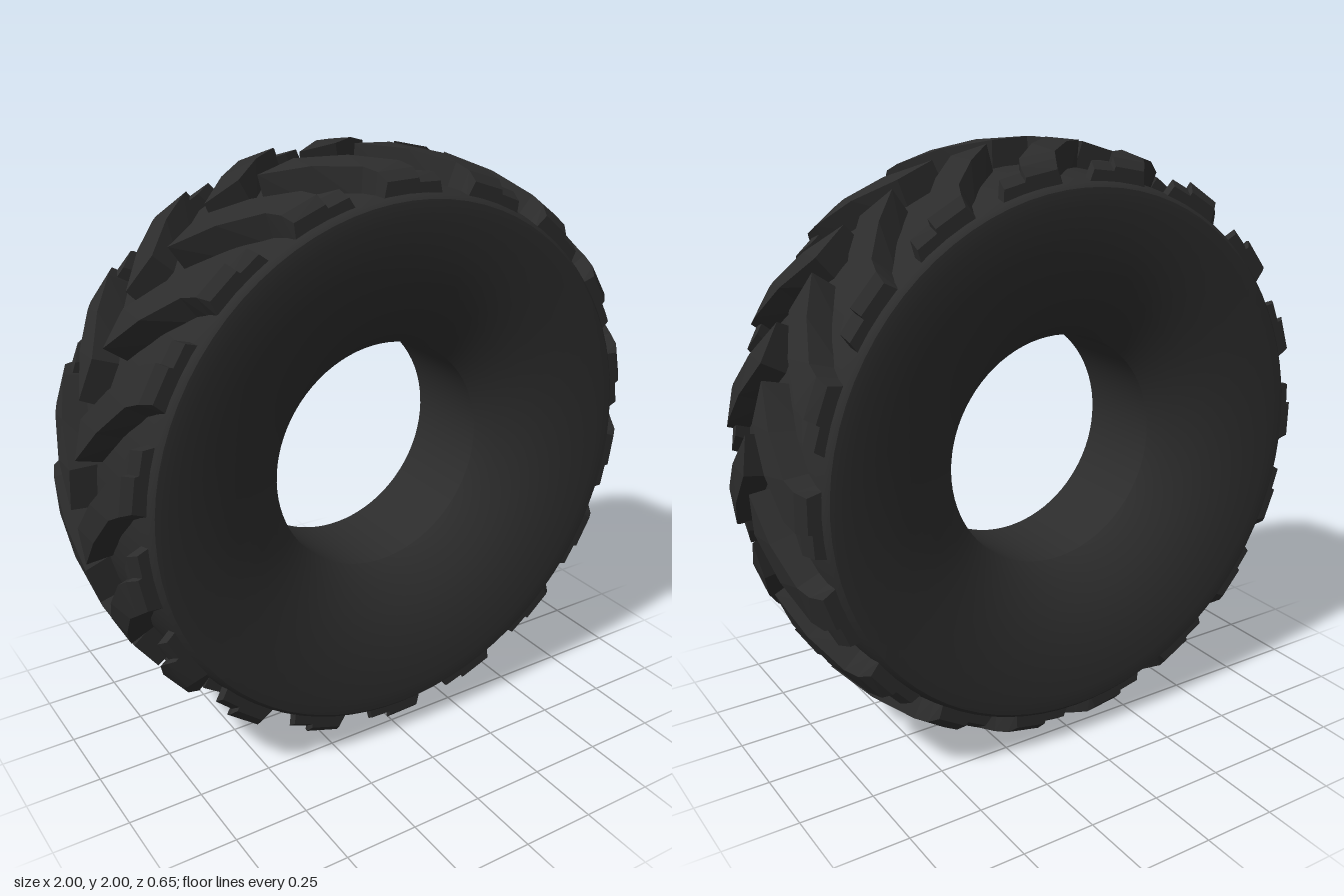
import * as THREE from 'three';

const LUGS = 18;
const PITCH = (Math.PI * 2) / LUGS;
const PHASE = Math.PI / 2 + 0.12;
const BASE = 0.875;

// Ring of revolution around z; points are [radius, z]
function ring(name, points, material) {
  const geo = new THREE.LatheGeometry(points.map(([r, z]) => new THREE.Vector2(r, z)), 80);
  geo.rotateX(Math.PI / 2);
  const mesh = new THREE.Mesh(geo, material);
  mesh.name = name;
  return mesh;
}

// Block lofted through four-cornered sections; side is +1 (front) or -1 (back)
// Section: z, low and high angle of the top face, top radius, flare of the base
function blockGeometry(sections, side) {
  const loops = sections.map(([z, lo, hi, top, flare]) =>
    [[BASE, lo - flare], [top, lo], [top, hi], [BASE, hi + flare]].map(
      ([r, a]) => [r * Math.cos(a), r * Math.sin(a), z * side]));
  const pos = [];
  const quad = (a, b, c, d) => {
    const order = side > 0 ? [a, b, c, a, c, d] : [a, c, b, a, d, c];
    order.forEach((p) => pos.push(...p));
  };
  for (let k = 0; k < loops.length - 1; k++) {
    for (let i = 0; i < 4; i++) {
      const j = (i + 1) % 4;
      quad(loops[k][i], loops[k][j], loops[k + 1][j], loops[k + 1][i]);
    }
  }
  const first = loops[0], last = loops[loops.length - 1];
  quad(first[3], first[2], first[1], first[0]);
  quad(last[0], last[1], last[2], last[3]);
  const geo = new THREE.BufferGeometry();
  geo.setAttribute('position', new THREE.Float32BufferAttribute(pos, 3));
  geo.computeVertexNormals();
  return geo;
}

// Long slanted bar of a lug
const BAR = [
  [0.02, -0.065, 0.065, 0.998, 0.015],
  [0.13, -0.19, -0.06, 0.992, 0.015],
  [0.23, -0.305, -0.175, 0.975, 0.02],
  [0.27, -0.33, -0.2, 0.96, 0.02],
  [0.297, -0.335, -0.215, 0.932, 0.02],
];
// Lower step beside the outer end of the bar
const STEP = [
  [0.235, -0.35, -0.25, 0.945, 0.03],
  [0.265, -0.41, -0.25, 0.945, 0.03],
  [0.297, -0.42, -0.25, 0.922, 0.02],
];

export function createModel() {
  const rubber = new THREE.MeshStandardMaterial({ color: 0x2c2c2c });
  rubber.name = 'black rubber';

  const tyre = new THREE.Group();
  tyre.name = 'tyre';
  tyre.position.y = 1;

  // Sidewall profile, from the shoulder in to the bore
  const wall = [[0.872, 0.32], [0.82, 0.325], [0.7, 0.313], [0.6, 0.288],
    [0.52, 0.256], [0.45, 0.214], [0.41, 0.181], [0.39, 0.16]];
  const mirrored = (pts) => pts.map(([r, z]) => [r, -z]).reverse();
  tyre.add(ring('frontSidewall', wall, rubber));
  tyre.add(ring('backSidewall', mirrored(wall), rubber));
  tyre.add(ring('bore', [[0.39, 0.16], [0.39, -0.16]], rubber));

  // Crowned band under the lugs
  const half = [[0.912, 0], [0.908, 0.15], [0.895, 0.27], [0.885, 0.307], [0.872, 0.32]];
  tyre.add(ring('treadBand', [...mirrored(half), ...half.slice(1)], rubber));

  // Two staggered rows of slanted lugs forming chevrons
  for (const side of [1, -1]) {
    const row = new THREE.Group();
    row.name = side > 0 ? 'frontLugs' : 'backLugs';
    const parts = { lugBar: blockGeometry(BAR, side), lugStep: blockGeometry(STEP, side) };
    for (let i = 0; i < LUGS; i++) {
      const lug = new THREE.Group();
      lug.name = 'treadLug';
      for (const [name, geo] of Object.entries(parts)) {
        const mesh = new THREE.Mesh(geo, rubber);
        mesh.name = name;
        lug.add(mesh);
      }
      lug.rotation.z = PHASE + (i + (side > 0 ? 0.5 : 0)) * PITCH;
      row.add(lug);
    }
    tyre.add(row);
  }

  const model = new THREE.Group();
  model.name = 'tractorTyre';
  model.add(tyre);
  return model;
}
